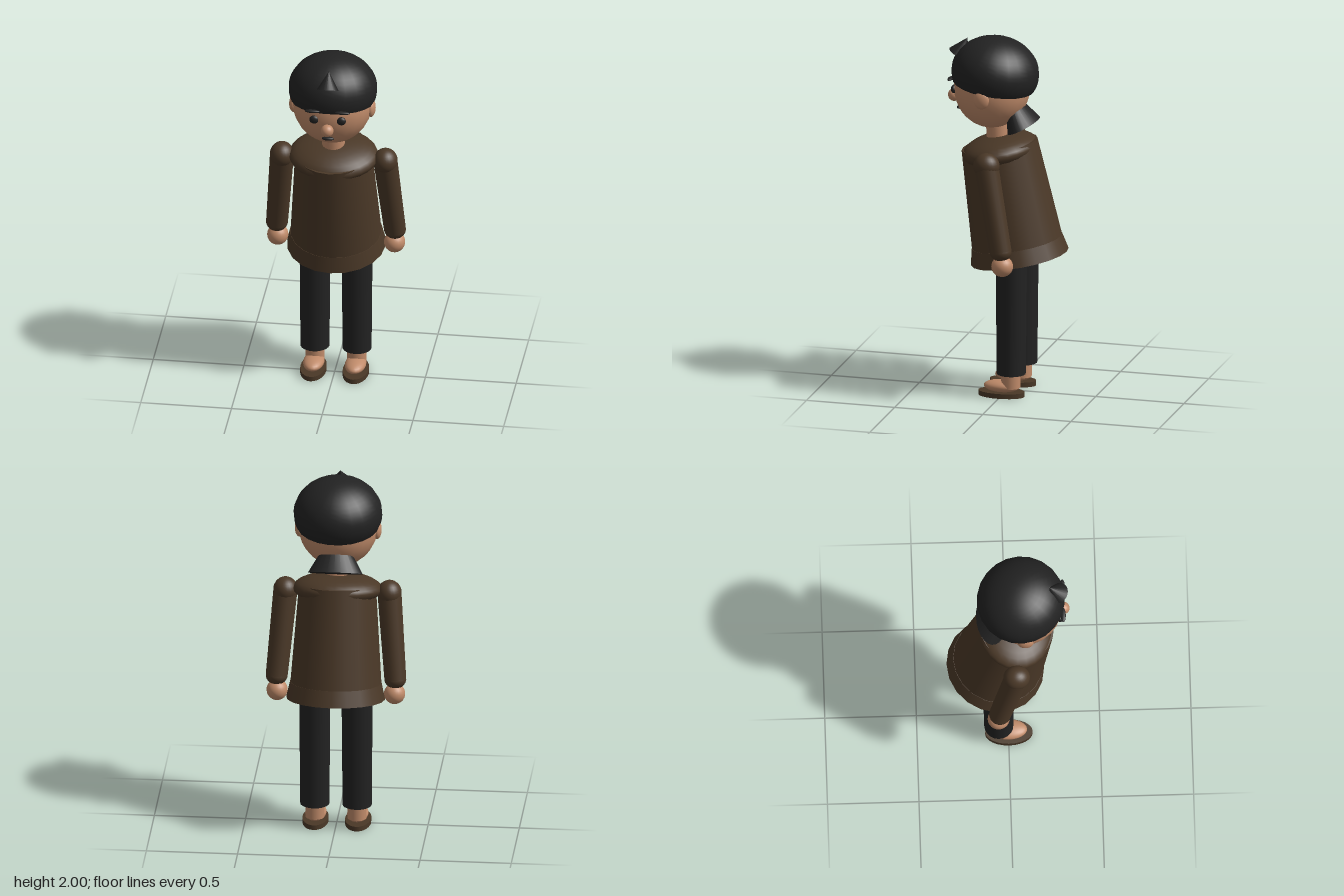
import * as THREE from 'three';

const material = (name, color) => {
  const m = new THREE.MeshStandardMaterial({ color });
  m.name = name;
  return m;
};

export function createModel() {
  const model = new THREE.Group();
  model.name = 'figure';
  const skin = material('skin', 0xc08b6a);
  const brown = material('brown cloth', 0x4a3827);
  const black = material('black', 0x222222);

  const add = (parent, name, geometry, mat, pos, rotX = 0) => {
    const mesh = new THREE.Mesh(geometry, mat);
    mesh.name = name;
    mesh.position.set(...pos);
    mesh.rotation.x = rotX;
    parent.add(mesh);
    return mesh;
  };
  const ball = (parent, name, mat, pos, [rx, ry, rz], rotX = 0) =>
    add(parent, name, new THREE.SphereGeometry(1, 24, 16).scale(rx, ry, rz), mat, pos, rotX);

  // cylinder running between two points
  const limb = (parent, name, mat, from, to, rFrom, rTo) => {
    const a = new THREE.Vector3(...from), b = new THREE.Vector3(...to);
    const dir = a.clone().sub(b);
    const mesh = add(parent, name, new THREE.CylinderGeometry(rFrom, rTo, dir.length(), 20), mat,
      a.clone().add(b).multiplyScalar(0.5).toArray());
    mesh.quaternion.setFromUnitVectors(new THREE.Vector3(0, 1, 0), dir.normalize());
    return mesh;
  };

  // head and face
  const head = new THREE.Group();
  head.name = 'head';
  model.add(head);
  ball(head, 'face', skin, [0, 1.715, 0.088], [0.217, 0.222, 0.208]);
  ball(head, 'nose', skin, [0, 1.655, 0.302], [0.035, 0.035, 0.035]);
  ball(head, 'mouth', black, [0, 1.59, 0.27], [0.033, 0.01, 0.015]);
  limb(head, 'neck', skin, [0, 1.54, 0.06], [0, 1.4, 0.05], 0.062, 0.064);

  // hair dome, front tuft and ponytail
  const dome = new THREE.SphereGeometry(1, 22, 16, 0, Math.PI * 2, 0, Math.PI * 0.62);
  const rim = Math.sin(Math.PI * 0.62), rimY = Math.cos(Math.PI * 0.62);
  const hair = add(head, 'hair', dome.scale(0.243, 0.2, 0.241), black, [0, 1.8, 0.07], -0.14);
  const underside = new THREE.CircleGeometry(1, 22).rotateX(Math.PI / 2).scale(0.243 * rim, 1, 0.241 * rim);
  add(hair, 'hairUnderside', underside, black, [0, 0.2 * rimY, 0]);
  add(head, 'hairTuft', new THREE.ConeGeometry(0.06, 0.103, 20), black, [0, 1.939, 0.251], -0.47);
  const tail = new THREE.ConeGeometry(0.091, 0.265, 24).translate(0, 0.1325, 0).scale(1.65, 1, 1);
  add(head, 'ponytail', tail, black, [0, 1.51, -0.0925], 0.45);

  // tunic: leaning body, flared hem and rounded yoke
  const tunic = new THREE.Group();
  tunic.name = 'tunic';
  tunic.position.set(0, 0.763, -0.069);
  tunic.rotation.x = 0.18;
  model.add(tunic);
  add(tunic, 'tunicBody', new THREE.CylinderGeometry(0.21, 0.25, 0.565, 20), brown, [0, 0.3605, 0]);
  add(tunic, 'tunicHem', new THREE.CylinderGeometry(0.251, 0.271, 0.09, 20), brown, [0, 0.045, 0]);
  ball(tunic, 'tunicYoke', brown, [0, 0.615, 0], [0.245, 0.085, 0.208]);

  // mirrored parts
  for (const [side, s] of [['left', 1], ['right', -1]]) {
    ball(head, side + 'Eye', black, [s * 0.075, 1.71, 0.283], [0.026, 0.024, 0.016]);
    ball(head, side + 'Eyebrow', black, [s * 0.083, 1.77, 0.3], [0.042, 0.009, 0.014]);
    ball(head, side + 'Ear', skin, [s * 0.213, 1.7, 0.09], [0.025, 0.052, 0.044]);

    const arm = new THREE.Group();
    arm.name = side + 'Arm';
    model.add(arm);
    ball(arm, side + 'Shoulder', brown, [s * 0.285, 1.35, 0.04], [0.067, 0.071, 0.073]);
    limb(arm, side + 'Sleeve', brown, [s * 0.285, 1.35, 0.04], [s * 0.325, 0.88, -0.052], 0.066, 0.06);
    ball(arm, side + 'Cuff', brown, [s * 0.325, 0.88, -0.052], [0.06, 0.052, 0.06]);
    ball(arm, side + 'Hand', skin, [s * 0.322, 0.797, -0.06], [0.058, 0.058, 0.06]);

    const leg = new THREE.Group();
    leg.name = side + 'Leg';
    model.add(leg);
    limb(leg, side + 'Trouser', black, [s * 0.116, 0.85, -0.055], [s * 0.116, 0.13, -0.053], 0.086, 0.08);
    limb(leg, side + 'Ankle', skin, [s * 0.115, 0.16, -0.05], [s * 0.115, 0.05, -0.05], 0.053, 0.053);
    ball(leg, side + 'Foot', skin, [s * 0.115, 0.055, 0], [0.058, 0.034, 0.102]);
    const sole = new THREE.CylinderGeometry(1, 1, 0.027, 24).scale(0.071, 1, 0.13);
    add(leg, side + 'Sandal', sole, brown, [s * 0.117, 0.0135, 0.002]);
  }
  return model;
}
